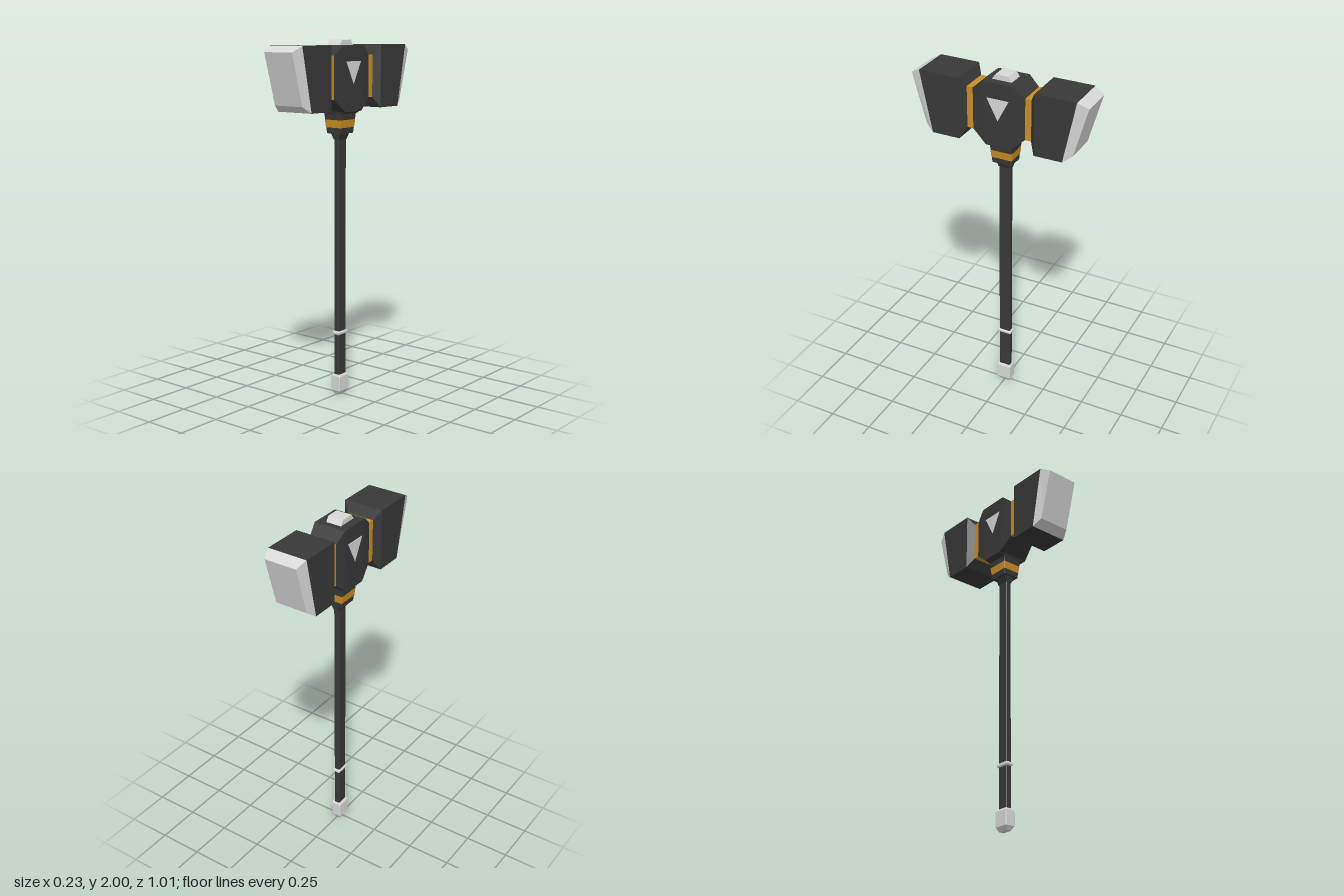
import * as THREE from 'three';

// Flat-shaded solid through matching rings, each counter-clockwise seen from the far end.
function loft(rings) {
  const pos = [];
  const tri = (a, b, c) => pos.push(...a, ...b, ...c);
  const n = rings[0].length;
  for (let i = 0; i < rings.length - 1; i++) {
    for (let j = 0; j < n; j++) {
      const k = (j + 1) % n;
      const [a, b, c, d] = [rings[i][j], rings[i][k], rings[i + 1][k], rings[i + 1][j]];
      tri(a, b, c);
      tri(a, c, d);
    }
  }
  const first = rings[0], last = rings[rings.length - 1];
  for (let j = 1; j < n - 1; j++) {
    tri(first[0], first[j + 1], first[j]);
    tri(last[0], last[j], last[j + 1]);
  }
  const g = new THREE.BufferGeometry();
  g.setAttribute('position', new THREE.Float32BufferAttribute(pos, 3));
  g.computeVertexNormals();
  return g;
}

// Level ring at height y with chamfered corners.
const level = (y, hx, hz, c = 0.003) => [
  [hx - c, y, hz], [hx, y, hz - c], [hx, y, c - hz], [hx - c, y, -hz],
  [c - hx, y, -hz], [-hx, y, c - hz], [-hx, y, hz - c], [c - hx, y, hz],
];

// Upright ring; its bottom and top edges may sit at different z.
const upright = (hx, y0, y1, zBottom, zTop = zBottom) => [
  [-hx, y0, zBottom], [hx, y0, zBottom], [hx, y1, zTop], [-hx, y1, zTop],
];

export function createModel() {
  const model = new THREE.Group();
  const mat = (name, color) => {
    const m = new THREE.MeshStandardMaterial({ color });
    m.name = name;
    m.flatShading = true;
    return m;
  };
  const dark = mat('dark iron', 0x383838);
  const steel = mat('pale steel', 0xd8d8d8);
  const gold = mat('gold', 0xcc9022);
  const add = (name, geometry, material, parent = model) => {
    const mesh = new THREE.Mesh(geometry, material);
    mesh.name = name;
    parent.add(mesh);
    return mesh;
  };

  // Handle, its ring and the pommel
  add('handle', loft([level(0.1, 0.017, 0.033, 0.004), level(1.5, 0.017, 0.033, 0.004)]), dark);
  add('handleRing', loft([
    level(0.352, 0.018, 0.036), level(0.358, 0.023, 0.042),
    level(0.368, 0.023, 0.042), level(0.374, 0.018, 0.036),
  ]), steel);
  add('pommel', loft([
    level(0, 0.016, 0.03), level(0.024, 0.03, 0.043),
    level(0.108, 0.03, 0.043), level(0.118, 0.025, 0.038),
  ]), steel);

  // Stepped neck below the head
  add('collar', loft([level(1.46, 0.018, 0.037), level(1.495, 0.033, 0.042)]), dark);
  add('neckBase', loft([level(1.495, 0.048, 0.057), level(1.527, 0.052, 0.059)]), dark);
  add('neckBand', loft([level(1.527, 0.053, 0.06), level(1.57, 0.058, 0.064)]), gold);
  add('neckTop', loft([
    level(1.57, 0.057, 0.063), level(1.603, 0.06, 0.066), level(1.618, 0.09, 0.07),
  ]), dark);

  // Faceted centre block
  add('centreBlock', loft([
    upright(0.08, 1.686, 1.919, -0.15),
    upright(0.093, 1.617, 1.972, -0.07, -0.09),
    upright(0.093, 1.617, 1.972, 0.07, 0.09),
    upright(0.08, 1.686, 1.919, 0.15),
  ]), dark);

  // Bevelled stud on top
  add('topStud', loft([level(1.965, 0.045, 0.062, 0), level(2, 0.045, 0.037, 0)]), steel);

  // Triangular inlay on each side
  const tri = new THREE.Shape([
    new THREE.Vector2(-0.063, 1.887), new THREE.Vector2(0, 1.766), new THREE.Vector2(0.063, 1.887),
  ]);
  for (const side of [1, -1]) {
    const inlay = add('sideInlay', new THREE.ExtrudeGeometry(tri, { depth: 0.004, bevelEnabled: false }), steel);
    inlay.rotation.y = side * Math.PI / 2;
    inlay.position.x = side * 0.0915;
  }

  // Two identical striking heads, turned to face front and back
  for (const [name, turn] of [['frontHead', 0], ['backHead', Math.PI]]) {
    const head = new THREE.Group();
    head.name = name;
    head.rotation.y = turn;
    model.add(head);
    add('goldBand', loft([upright(0.08, 1.686, 1.919, 0.15), upright(0.08, 1.686, 1.919, 0.185)]), gold, head);
    add('headBlock', loft([
      upright(0.08, 1.686, 1.919, 0.185),
      upright(0.115, 1.628, 1.972, 0.216),
      upright(0.115, 1.628, 1.972, 0.376, 0.446),
    ]), dark, head);
    add('strikingFace', loft([
      upright(0.115, 1.628, 1.972, 0.376, 0.446),
      upright(0.094, 1.664, 1.941, 0.425, 0.503),
    ]), steel, head);
  }
  return model;
}
